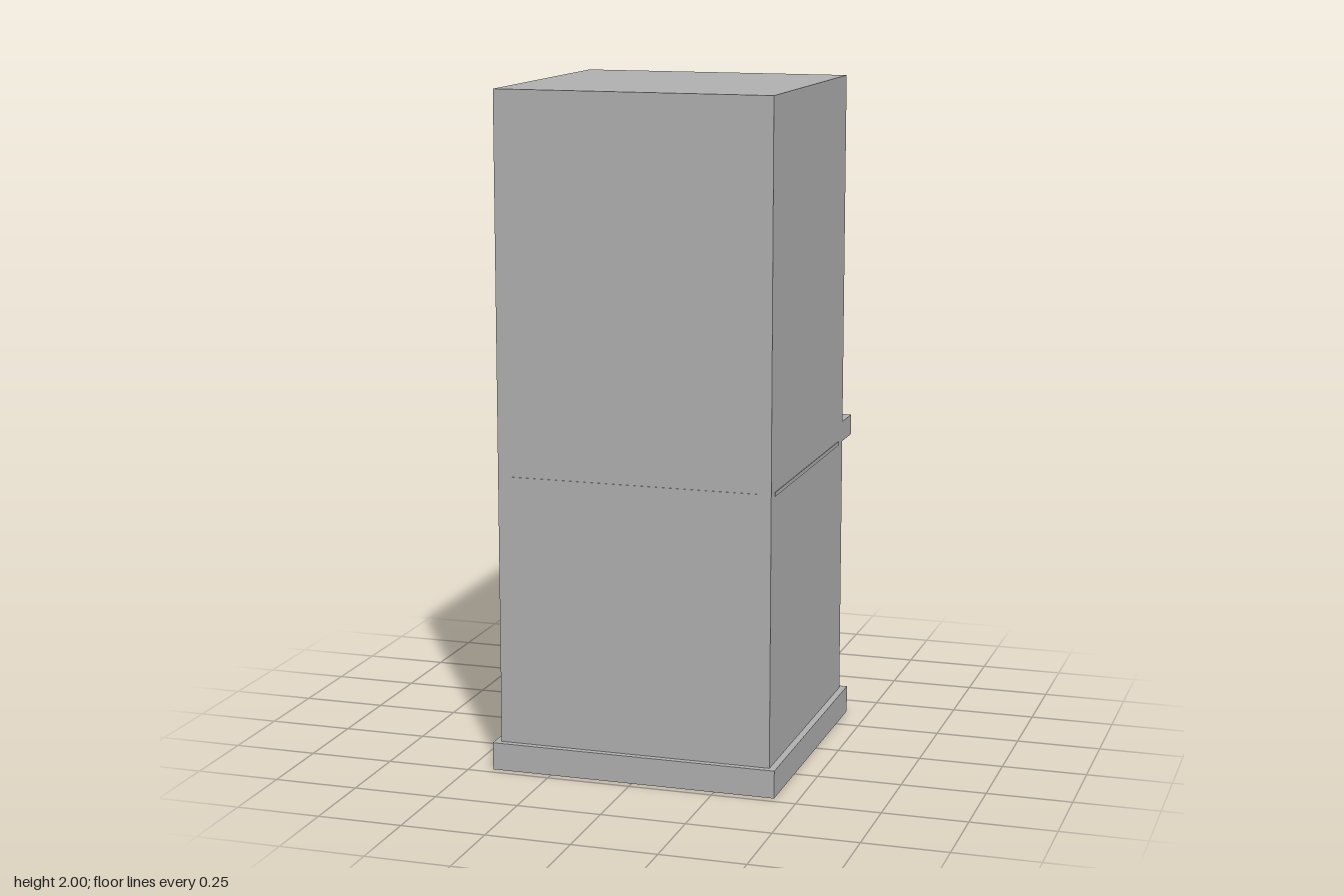
import * as THREE from 'three';

export function createModel() {
  const group = new THREE.Group();
  const grey = new THREE.MeshStandardMaterial({ color: 0xb0b0b0 });
  grey.name = 'plain grey';

  // Adds a box given its extents along each axis
  function box(name, [x0, x1], [y0, y1], [z0, z1]) {
    const mesh = new THREE.Mesh(new THREE.BoxGeometry(x1 - x0, y1 - y0, z1 - z0), grey);
    mesh.position.set((x0 + x1) / 2, (y0 + y1) / 2, (z0 + z1) / 2);
    mesh.name = name;
    group.add(mesh);
  }

  const W = 0.41, front = 0.455, back = -0.365;

  // Plinth and tall cabinet
  box('plinth', [-0.43, 0.43], [0, 0.082], [back - 0.02, front + 0.02]);
  box('cabinet', [-W, W], [0.082, 2], [back, front]);

  // Thin trim lines around the middle
  const t = 0.002, trimY = [0.872, 0.884];
  box('frontTrim', [-0.37, 0.37], trimY, [front, front + t]);
  box('leftTrim', [W, W + t], trimY, [-0.315, 0.415]);
  box('rightTrim', [-W - t, -W], trimY, [-0.315, 0.415]);

  // Shelf on the back with two buttons
  box('shelf', [-W, W], [0.875, 0.937], [-0.478, back]);
  for (const x of [-0.103, 0.103]) {
    const button = new THREE.Mesh(new THREE.CylinderGeometry(0.013, 0.013, 0.01, 24), grey);
    button.position.set(x, 0.942, -0.418);
    button.name = 'button';
    group.add(button);
  }

  // Raised plates on the back
  box('upperPlate', [-0.256, 0.256], [1.85, 1.95], [back - 0.01, back]);
  box('lowerPlate', [-0.23, 0.23], [0.207, 0.43], [back - 0.004, back]);
  box('lowerInsetPlate', [-0.185, 0.185], [0.247, 0.388], [back - 0.008, back - 0.004]);

  return group;
}
